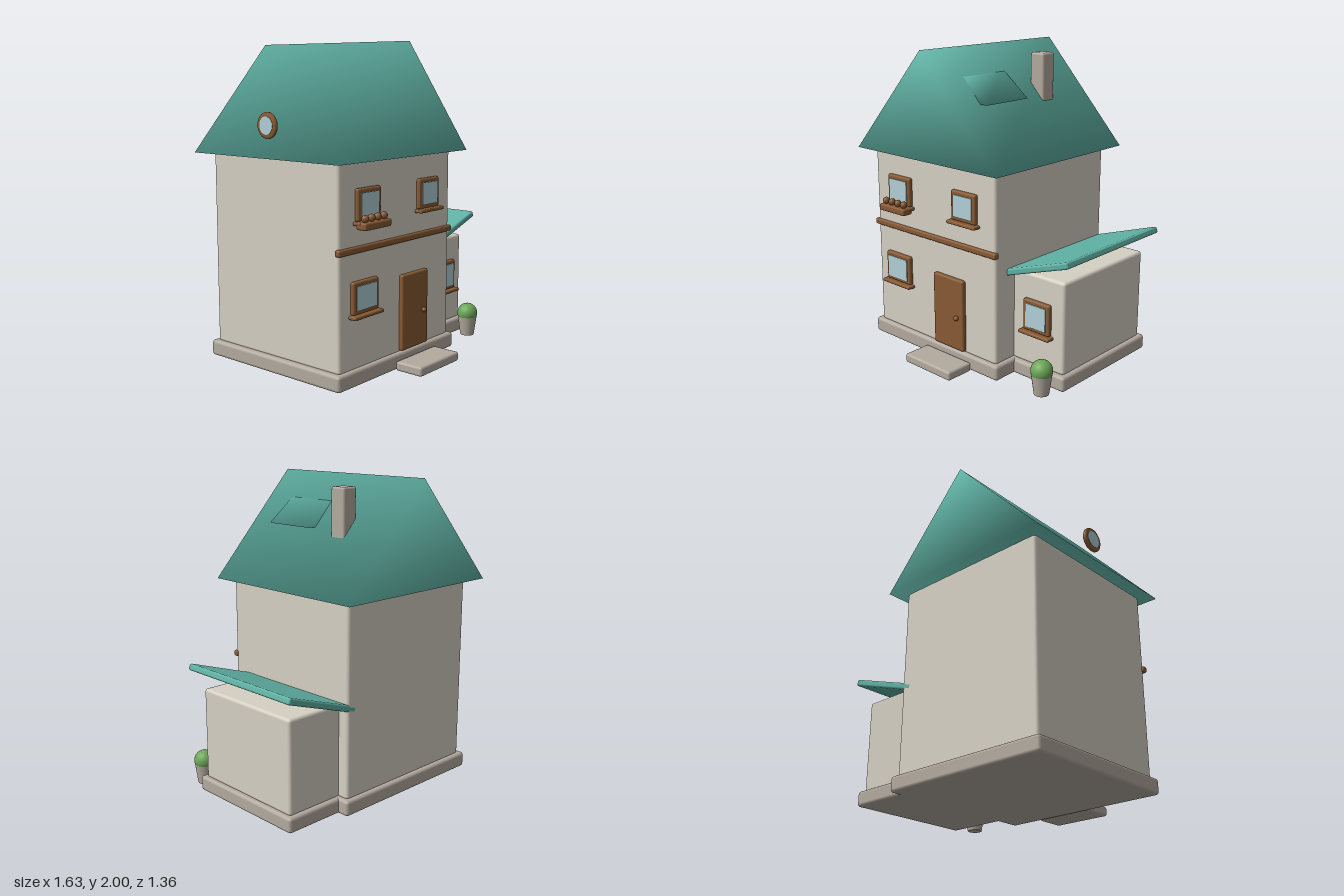
import * as THREE from 'three';
import { RoundedBoxGeometry } from 'three/addons/geometries/RoundedBoxGeometry.js';

const paint = (name, color) => {
  const m = new THREE.MeshStandardMaterial({ color });
  m.name = name;
  return m;
};

// Triangular prism with its ridge along z, base on y = 0, softly shaded all round
function prismGeometry(halfW, h, depth) {
  const s = Math.hypot(halfW, h), d = depth / 2;
  const apexAngle = 2 * Math.atan2(halfW, h), eaveAngle = Math.atan2(h, halfW);
  const pos = [], nor = [];
  const put = (x, y, z, nx, ny, nz) => {
    pos.push(x, y, z);
    nor.push(...new THREE.Vector3(nx, ny, nz).normalize().toArray());
  };
  for (const f of [1, -1]) {
    for (const side of [-1, 1]) {
      put(side * halfW, 0, f * d,
        side * Math.PI / 2 * h / s, Math.PI / 2 * (halfW / s - 1), f * eaveAngle);
    }
    put(0, h, f * d, 0, Math.PI * halfW / s, f * apexAngle);
  }
  const g = new THREE.BufferGeometry();
  g.setAttribute('position', new THREE.Float32BufferAttribute(pos, 3));
  g.setAttribute('normal', new THREE.Float32BufferAttribute(nor, 3));
  g.setIndex([0, 1, 2, 4, 3, 5, 1, 4, 5, 1, 5, 2, 3, 0, 2, 3, 2, 5, 0, 3, 4, 0, 4, 1]);
  return g;
}

export function createModel() {
  const house = new THREE.Group();
  house.name = 'house';
  const wall = paint('wallPlaster', 0xd6d0c3);
  const stone = paint('stone', 0xb3aa9f);
  const teal = paint('roofTeal', 0x5fb0a3);
  const wood = paint('wood', 0x875a33);
  const glass = paint('windowGlass', 0xb2d0d8);
  const green = paint('leaf', 0x6ba657);

  const add = (name, geo, mat, x = 0, y = 0, z = 0, parent = house) => {
    const m = new THREE.Mesh(geo, mat);
    m.name = name;
    m.position.set(x, y, z);
    parent.add(m);
    return m;
  };
  // Rounded block given by its extents
  const block = (name, mat, [x0, x1], [y0, y1], [z0, z1], r = 0.012, parent = house) =>
    add(name, new RoundedBoxGeometry(x1 - x0, y1 - y0, z1 - z0, 2, r), mat,
      (x0 + x1) / 2, (y0 + y1) / 2, (z0 + z1) / 2, parent);

  // Plinths and walls
  block('mainPlinth', stone, [-0.77, 0.38], [0, 0.1], [-0.625, 0.48], 0.02);
  block('annexPlinth', stone, [0.25, 0.775], [0, 0.098], [-0.55, 0.315], 0.02);
  block('mainWalls', wall, [-0.735, 0.35], [0.09, 1.325], [-0.595, 0.452], 0.02);
  block('annexWalls', wall, [0.25, 0.747], [0.09, 0.69], [-0.52, 0.283], 0.02);

  // Roofs
  add('mainRoof', prismGeometry(0.625, 0.68, 1.21), teal, -0.195, 1.32, -0.075);
  add('dormer', prismGeometry(0.205, 0.16, 0.37), teal, -0.05, 1.68, 0.13);
  const lean = add('annexRoof', new RoundedBoxGeometry(0.56, 0.042, 0.945, 2, 0.012),
    teal, 0.545, 0.745, -0.123);
  lean.rotation.z = Math.atan2(0.16, 0.48);
  block('chimney', stone, [0.025, 0.135], [1.5, 1.945], [-0.338, -0.227], 0.014);

  // Front beam, door and step
  block('beam', wood, [-0.75, 0.36], [0.79, 0.83], [0.43, 0.47]);
  block('door', wood, [-0.175, 0.09], [0.105, 0.585], [0.43, 0.48]);
  add('doorKnob', new THREE.SphereGeometry(0.017, 16, 12), wood, 0.038, 0.328, 0.488);
  block('doorStep', stone, [-0.245, 0.16], [0, 0.06], [0.48, 0.675], 0.015);

  // Windows: left, right, bottom and top of the frame, and the wall's z
  const windows = [
    ['upperRightWindow', -0.595, -0.385, 0.975, 1.165, 0.45],
    ['upperLeftWindow', -0.005, 0.203, 0.975, 1.165, 0.45],
    ['lowerRightWindow', -0.635, -0.405, 0.43, 0.625, 0.45],
    ['annexWindow', 0.443, 0.65, 0.325, 0.527, 0.281],
  ];
  for (const [name, x0, x1, y0, y1, z] of windows) {
    const g = new THREE.Group();
    g.name = name;
    house.add(g);
    block('frame', wood, [x0, x1], [y0, y1], [z - 0.02, z + 0.028], 0.012, g);
    add('pane', new THREE.BoxGeometry(x1 - x0 - 0.05, y1 - y0 - 0.05, 0.008), glass,
      (x0 + x1) / 2, (y0 + y1) / 2, z + 0.03, g);
    block('sill', wood, [x0 - 0.017, x1 + 0.017], [y0 - 0.022, y0], [z - 0.01, z + 0.055], 0.008, g);
  }

  // Flower box under the upper window
  block('flowerBox', wood, [-0.61, -0.37], [0.93, 0.975], [0.47, 0.546]);
  for (let i = 0; i < 4; i++) {
    add('flower', new THREE.SphereGeometry(0.023, 16, 12), wood, -0.576 + i * 0.057, 0.995, 0.512);
  }

  // Round window beside the right roof slope
  const round = new THREE.Group();
  round.name = 'roundWindow';
  round.position.set(-0.763, 1.51, -0.078);
  round.rotation.z = Math.PI / 2;
  house.add(round);
  const ring = [[0.045, -0.013], [0.072, -0.013], [0.079, -0.006], [0.079, 0.006],
    [0.072, 0.013], [0.045, 0.013]].map(p => new THREE.Vector2(...p));
  add('ring', new THREE.LatheGeometry(ring, 32), wood, 0, 0, 0, round);
  add('pane', new THREE.CylinderGeometry(0.054, 0.054, 0.03, 32), glass, 0, 0, 0, round);

  // Potted bush
  add('plantPot', new THREE.CylinderGeometry(0.065, 0.047, 0.13, 24), stone, 0.677, 0.065, 0.4);
  add('bush', new THREE.SphereGeometry(0.069, 24, 16), green, 0.677, 0.152, 0.4);

  return house;
}
